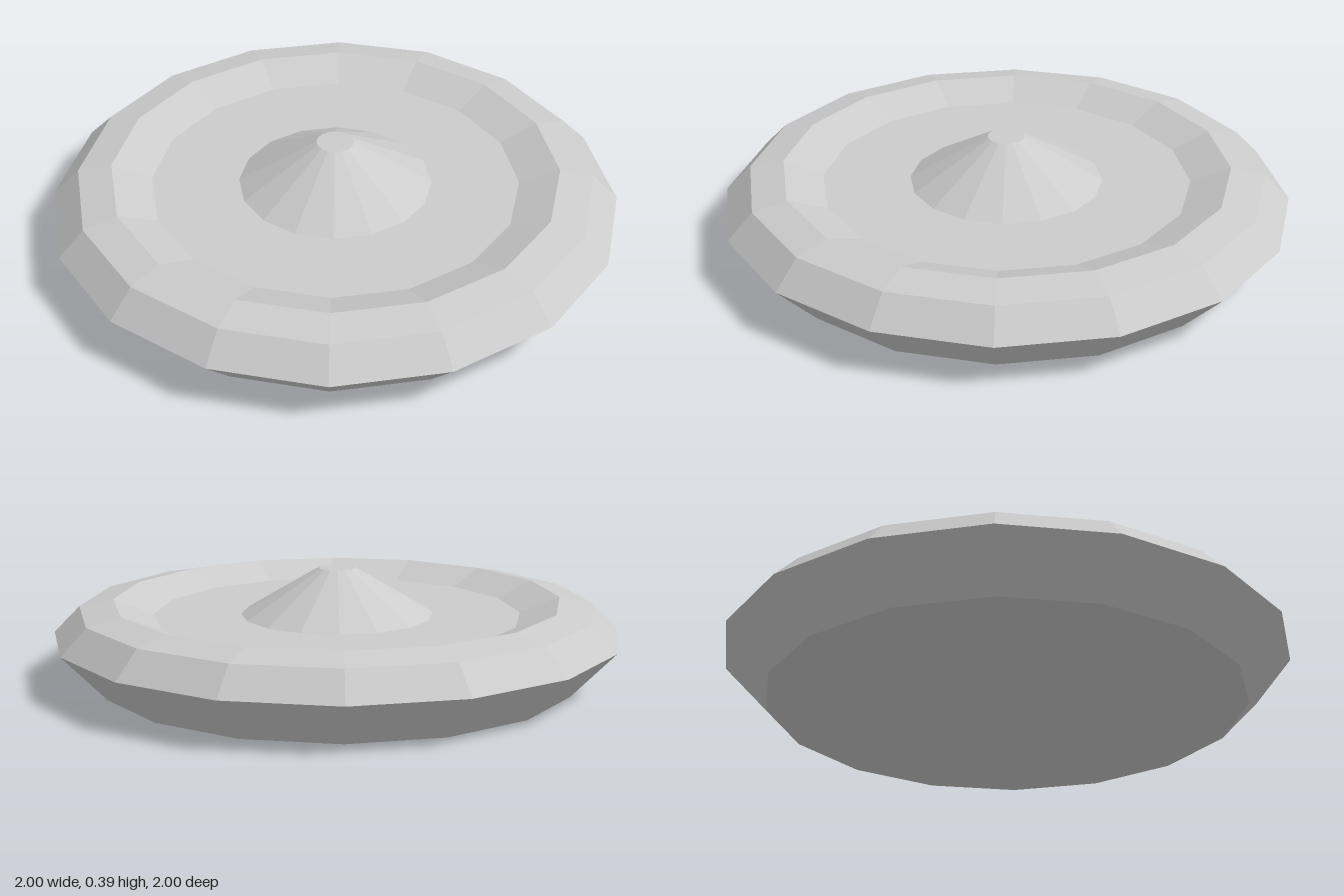
import * as THREE from 'three';

const SIDES = 16;

// Faceted solid of revolution from [radius, height] pairs, listed bottom to top
function turned(name, profile, material) {
  const points = profile.map(([r, y]) => new THREE.Vector2(r, y));
  const mesh = new THREE.Mesh(new THREE.LatheGeometry(points, SIDES), material);
  mesh.name = name;
  return mesh;
}

export function createModel() {
  const group = new THREE.Group();
  group.name = 'dish';
  const material = new THREE.MeshStandardMaterial({ color: 0xcccccc, flatShading: true });

  // Flat base, flared wall, bevelled rim and the slope down to the sunken floor
  group.add(turned('body', [
    [0, 0], [0.845, 0], [1, 0.163], [0.91, 0.255], [0.79, 0.28], [0.65, 0.225], [0.34, 0.225],
  ], material));

  // Blunt cone rising from the middle of the floor
  group.add(turned('centreCone', [
    [0.34, 0.225], [0.065, 0.39], [0, 0.39],
  ], material));

  return group;
}
